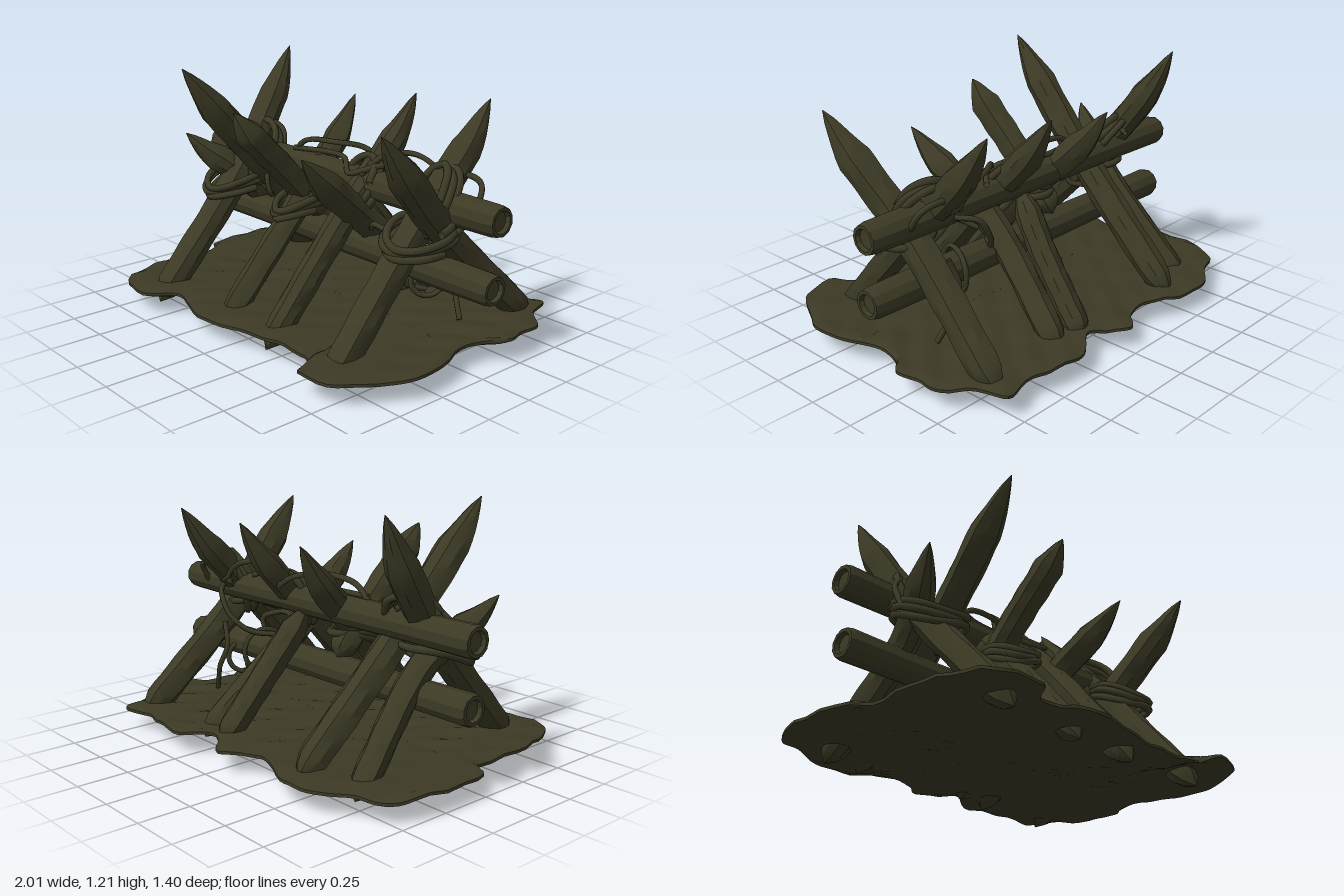
import * as THREE from 'three';
import { toCreasedNormals } from 'three/addons/utils/BufferGeometryUtils.js';

// Double sided because the rope tubes have open ends
const wood = new THREE.MeshStandardMaterial({ color: 0x3c3a25, side: THREE.DoubleSide });
wood.name = 'dark olive wood';

const curve = (pts, closed = false) =>
  new THREE.CatmullRomCurve3(pts.map((p) => new THREE.Vector3(...p)), closed);

function add(group, name, geometry) {
  const mesh = new THREE.Mesh(geometry, wood);
  mesh.name = name;
  group.add(mesh);
  return mesh;
}

// Faceted tube whose radius follows radiusAt(t), with slightly uneven sides
function hewnTube(path, segments, sides, radiusAt, seed) {
  const geo = new THREE.TubeGeometry(path, segments, 1, sides);
  const pos = geo.attributes.position;
  const v = new THREE.Vector3();
  for (let i = 0; i <= segments; i++) {
    const t = i / segments;
    const c = path.getPointAt(t);
    for (let j = 0; j <= sides; j++) {
      const k = i * (sides + 1) + j;
      const uneven = 1 + 0.06 * Math.sin((j % sides) * 2.7 + seed) + 0.03 * Math.sin(i * 1.3 + (j % sides) * 4.1 + seed);
      v.fromBufferAttribute(pos, k).sub(c).multiplyScalar(radiusAt(t) * uneven).add(c);
      pos.setXYZ(k, v.x, v.y, v.z);
    }
  }
  return toCreasedNormals(geo, 0.5);
}

// Stake thickness: rounded foot, straight shaft, sharpened tip
const stakeRadius = (r) => (t) => {
  if (t < 0.08) return r * Math.max(0.01, Math.sqrt(t / 0.08) * 0.97);
  if (t < 0.82) return r * (0.96 + 0.08 * t);
  return Math.max(0.002, r * 1.03 * Math.pow((1 - t) / 0.18, 0.75));
};

// Stake path: straight shaft, with the point cut towards the upper side by `skew`
function stakePath(foot, mid, tip, skew) {
  const out = Math.sign(tip[2]);
  const neck = mid.map((m, i) => m + (tip[i] - m) * 0.7);
  neck[1] -= skew;
  neck[2] += skew * out * 0.8;
  return curve([foot, mid, neck, tip]);
}

// Uneven slab of earth made of rings that grow from a spine along x to one outline
function groundGeometry() {
  const outline = [
    [-.985, -.42], [-.91, -.55], [-.78, -.6], [-.64, -.69], [-.45, -.68], [-.24, -.6], [-.13, -.62],
    [-.03, -.7], [.14, -.59], [.3, -.69], [.51, -.68], [.63, -.65], [.78, -.69], [.83, -.55],
    [.95, -.43], [.94, -.32], [.97, -.22], [.9, -.13], [.88, .03], [.93, .14], [.96, .35],
    [.9, .47], [.79, .65], [.59, .69], [.54, .59], [.3, .57], [.08, .61], [-.18, .66],
    [-.46, .58], [-.56, .69], [-.8, .66], [-.91, .38], [-.92, .03], [-.985, 0],
  ];
  const n = 34 * 5;
  const edge = curve(outline.map(([x, z]) => [x, 0, z]), true).getPoints(n);
  const rings = [];
  for (let i = 0; i <= 12; i++) rings.push([i / 12, i === 12 ? 0.108 : 0.117]);
  for (let i = 12; i >= 0; i--) rings.push([i / 12, i === 12 ? 0.094 : 0.086]);
  const pos = [], index = [];
  rings.forEach(([s, y], i) => {
    for (let j = 0; j < n; j++) {
      const x = edge[j].x * (0.7 + 0.3 * s), z = edge[j].z * s;
      const bump = 0.006 * Math.sin(x * 17 + z * 9) * Math.sin(z * 21 - x * 6) + 0.004 * Math.sin(x * 33 + z * 27);
      pos.push(x, y + bump, z);
      if (i === rings.length - 1) continue;
      const a = i * n + j, b = i * n + (j + 1) % n;
      index.push(a, b + n, a + n, a, b, b + n);
    }
  });
  const geo = new THREE.BufferGeometry();
  geo.setAttribute('position', new THREE.Float32BufferAttribute(pos, 3));
  geo.setIndex(index);
  return toCreasedNormals(geo, 0.7);
}

// Log with a raised rim and a recessed cut at both ends
function railGeometry(length, r) {
  const h = length / 2;
  const profile = [
    [0, -h + 0.02], [r * 0.6, -h + 0.02], [r * 0.68, -h], [r * 0.9, -h], [r, -h + 0.03], [r * 0.95, -h * 0.6],
    [r, -h * 0.2], [r * 0.96, h * 0.25], [r * 1.02, h * 0.7], [r * 0.97, h - 0.03], [r * 0.88, h],
    [r * 0.68, h], [r * 0.6, h - 0.02], [0, h - 0.02],
  ].map(([x, y]) => new THREE.Vector2(x, y));
  const geo = new THREE.LatheGeometry(profile, 11);
  geo.rotateZ(-Math.PI / 2);
  return toCreasedNormals(geo, 0.5);
}

// Rope wound several times round a crossing
function coilGeometry(rx, rz, turns, rise, thickness) {
  const pts = [];
  const steps = turns * 12;
  for (let i = 0; i <= steps; i++) {
    const a = (i / 12) * Math.PI * 2;
    const wob = 1 + 0.07 * Math.sin(i * 0.83);
    pts.push([Math.cos(a) * rx * wob, (i / steps - 0.5) * rise + 0.012 * Math.sin(i * 1.1), Math.sin(a) * rz * wob]);
  }
  return new THREE.TubeGeometry(curve(pts), steps * 4, thickness, 6);
}

export function createModel() {
  const model = new THREE.Group();
  model.name = 'spikedBarricade';

  add(model, 'ground', groundGeometry());

  // Two long horizontal logs
  const upper = add(model, 'upperRail', railGeometry(2, 0.075));
  upper.position.set(0, 0.69, -0.083);
  upper.rotation.z = -0.003;
  const lower = add(model, 'lowerRail', railGeometry(1.97, 0.075));
  lower.position.set(0.005, 0.387, -0.07);
  lower.rotation.z = -0.006;

  // Sharpened stakes: foot, middle, tip, radius
  const backLeaning = [
    [[-.62, .02, .59], [-.66, .61, .04], [-.735, 1.21, -.36], .073],
    [[-.16, .03, .52], [-.16, .55, .05], [-.22, 1.02, -.37], .066],
    [[.17, .01, .53], [.18, .57, .05], [.19, 1.08, -.39], .067],
    [[.62, 0, .55], [.61, .57, .045], [.62, 1.11, -.425], .071],
  ];
  const frontLeaning = [
    [[-.72, .03, -.5], [-.66, .53, -.03], [-.81, .81, .27], .067],
    [[-.47, .07, -.6], [-.49, .59, -.06], [-.52, 1.2, .47], .077],
    [[-.16, .46, -.1], [-.165, .72, .14], [-.155, 1.04, .44], .068],
    [[.14, .07, -.55], [.11, .4, -.28], [.07, .67, -.08], .064],
    [[.29, .05, -.55], [.21, .52, -.04], [.29, .9, .41], .071],
    [[.74, .06, -.6], [.7, .58, -.05], [.79, 1.09, .42], .075],
  ];
  const stakes = (name, list, seed, skew) => list.forEach(([foot, mid, tip, r], i) => {
    add(model, name, hewnTube(stakePath(foot, mid, tip, skew), 28, 9, stakeRadius(r), i * 1.9 + seed));
  });
  stakes('backLeaningStake', backLeaning, 0, 0.018);
  stakes('frontLeaningStake', frontLeaning, 1, 0.008);

  // Rope lashings: x, y, z, half width, half depth, turns, rise, tilt x, tilt z
  const lashings = [
    [-.64, .58, .08, .15, .17, 3, .08, .25, .06],
    [-.62, .7, -.06, .13, .155, 3, .08, 1.1, -.2],
    [-.13, .56, .07, .1, .15, 3, .07, .2, .08],
    [.17, .69, -.06, .1, .145, 2, .06, 1.1, .15],
    [.67, .58, .07, .14, .16, 3, .08, .2, -.1],
    [.64, .7, -.06, .12, .16, 3, .08, 1.1, .3],
  ];
  for (const [x, y, z, rx, rz, turns, rise, tx, tz] of lashings) {
    const coil = add(model, 'ropeLashing', coilGeometry(rx, rz, turns, rise, 0.018));
    coil.position.set(x, y, z);
    coil.rotation.set(tx, 0, tz);
  }

  // Loose strands looping between the lashings
  const strands = [
    [[-.34, .75, -.07], [-.25, .82, -.07], [-.05, .84, -.1], [.06, .82, -.18], [.15, .76, -.2], [.2, .72, -.16]],
    [[-.33, .77, -.06], [-.1, .78, -.1], [.02, .78, -.08], [.14, .74, 0], [.2, .76, -.02], [.32, .8, -.12], [.38, .78, -.18]],
    [[.2, .74, -.02], [.27, .83, -.1], [.38, .85, -.18], [.5, .81, -.2], [.57, .74, -.2], [.64, .72, -.18]],
    [[.55, .72, -.19], [.66, .8, -.22], [.78, .78, -.2], [.8, .66, -.12], [.77, .55, .02]],
    [[.28, .5, -.02], [.36, .55, .04], [.48, .54, .05], [.56, .5, .02], [.54, .4, .03], [.5, .29, -.02], [.56, .26, -.1]],
    [[.6, .7, -.2], [.52, .68, -.27], [.45, .58, -.27], [.38, .5, -.2], [.3, .48, -.1]],
    [[.62, .5, -.18], [.58, .38, -.2], [.62, .27, -.22], [.66, .2, -.2], [.7, .13, -.18]],
    [[-.46, .68, .02], [-.43, .58, .04], [-.43, .52, .02], [-.5, .5, -.04]],
    [[-.8, .56, .1], [-.79, .7, .02], [-.66, .82, -.08], [-.62, .78, -.18]],
  ];
  strands.forEach((pts) => add(model, 'looseRope', new THREE.TubeGeometry(curve(pts), 36, 0.014, 6)));

  // Slack rope rings hanging from the lower rail
  for (const [x, y, z, r, turn] of [[.46, .36, -.05, .11, 1.3], [.57, .31, -.1, .08, 1.0]]) {
    const ring = add(model, 'ropeRing', new THREE.TorusGeometry(r, 0.013, 6, 28));
    ring.position.set(x, y, z);
    ring.rotation.y = turn;
  }

  return model;
}
